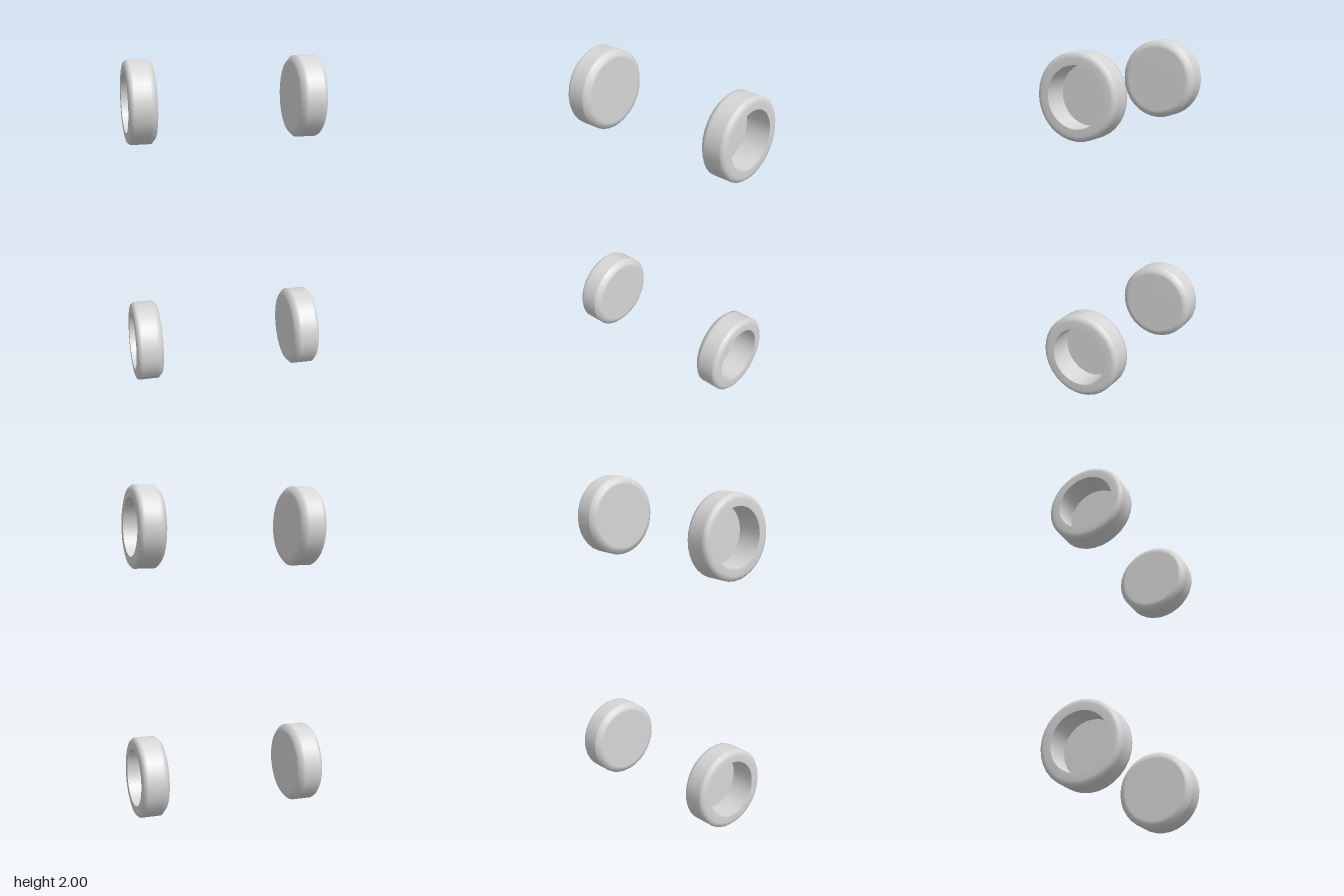
import * as THREE from 'three';

const SEGMENTS = 32;
const RADIUS = 0.244;
const WIDTH = 0.163;
const RECESS_RADIUS = 0.174;
const RECESS_FLOOR = 0.01;

// Profiles are [radius, distance from the inner face], wound so faces point outward
const lathe = (pts) =>
  new THREE.LatheGeometry(pts.map(([r, y]) => new THREE.Vector2(r, y)), SEGMENTS);

export function createModel() {
  const model = new THREE.Group();
  model.name = 'wheels';
  const grey = new THREE.MeshStandardMaterial({ color: 0xd6d6d6 });
  grey.name = 'light grey';

  const parts = {
    // closed inner face, bevelled edge, tread, bevelled outer edge and rim
    wheelShell: lathe([
      [0, 0], [0.2, 0], [0.219, 0.001], [RADIUS, 0.024], [RADIUS, 0.04],
      [RADIUS, WIDTH - 0.03], [RADIUS, WIDTH - 0.018],
      [0.232, WIDTH - 0.005], [0.214, WIDTH], [RECESS_RADIUS, WIDTH],
    ]),
    // deep hollow on the outer side
    recessWall: lathe([[RECESS_RADIUS, WIDTH], [RECESS_RADIUS, RECESS_FLOOR]]),
    recessFloor: lathe([[RECESS_RADIUS, RECESS_FLOOR], [0, RECESS_FLOOR]]),
  };

  // Four wheels, hollow sides facing away from the middle
  for (const side of [1, -1]) {
    for (const [level, y] of [['upper', 2 - RADIUS], ['lower', RADIUS]]) {
      const wheel = new THREE.Group();
      wheel.name = `${level}${side > 0 ? 'Left' : 'Right'}Wheel`;
      for (const [name, geometry] of Object.entries(parts)) {
        const mesh = new THREE.Mesh(geometry, grey);
        mesh.name = name;
        wheel.add(mesh);
      }
      wheel.rotation.z = -side * Math.PI / 2;
      wheel.position.set(side * 0.417, y, 0);
      model.add(wheel);
    }
  }
  return model;
}
